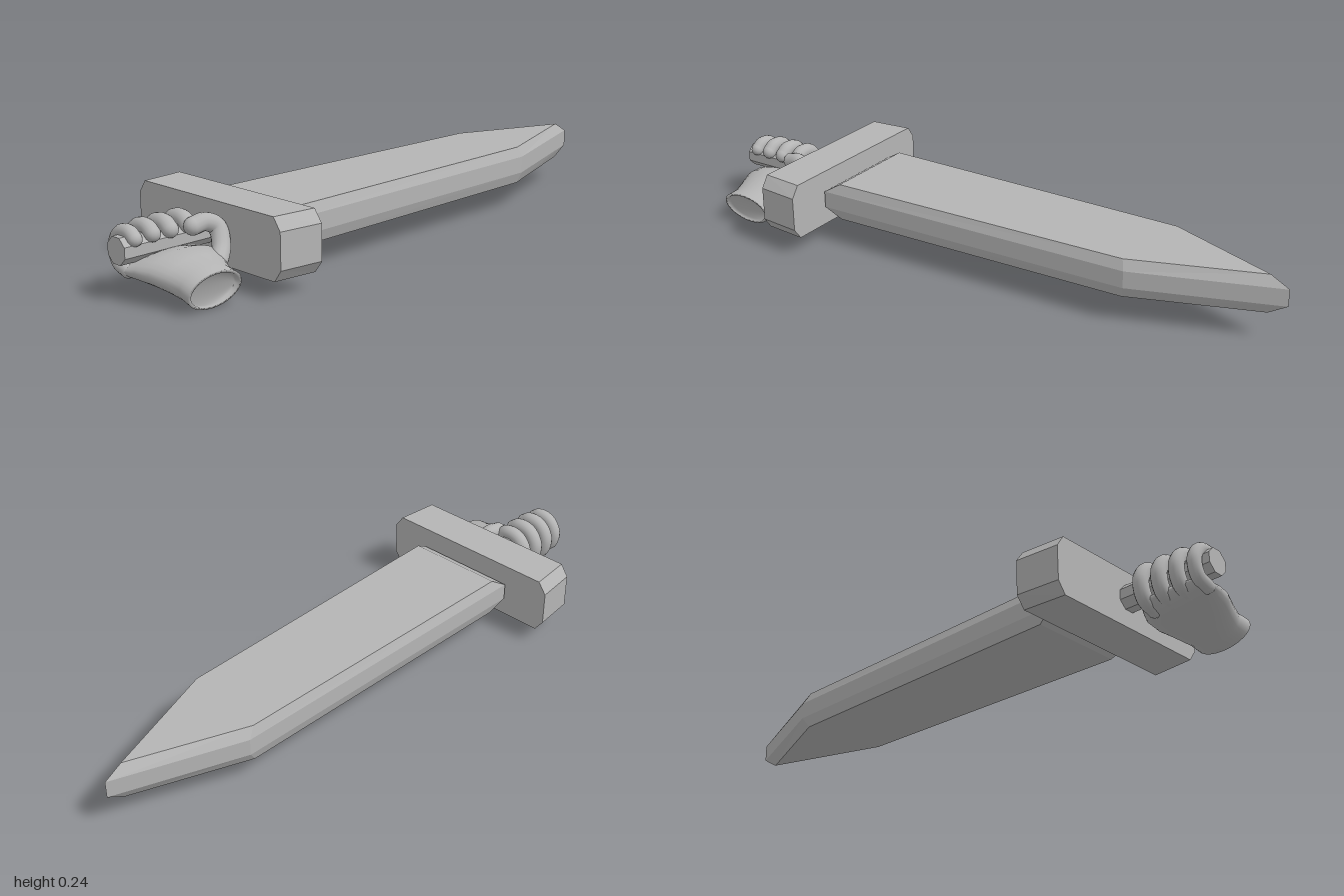
import * as THREE from 'three';

// Skin a run of closed rings (counter-clockwise about the run direction), capped at both ends
function loft(rings, flat) {
  const n = rings[0].length, idx = [];
  for (let k = 0; k < rings.length - 1; k++) {
    for (let j = 0; j < n; j++) {
      const a = k * n + j, b = k * n + (j + 1) % n;
      idx.push(a, b, b + n, a, b + n, a + n);
    }
  }
  const e = (rings.length - 1) * n;
  for (let j = 1; j < n - 1; j++) idx.push(0, j + 1, j, e, e + j, e + j + 1);
  let g = new THREE.BufferGeometry();
  g.setAttribute('position', new THREE.Float32BufferAttribute(rings.flat(2), 3));
  g.setIndex(idx);
  if (flat) g = g.toNonIndexed();
  g.computeVertexNormals();
  return g;
}

export function createModel() {
  const model = new THREE.Group();
  model.name = 'swordInHand';
  const grey = new THREE.MeshStandardMaterial({ color: 0xb4b4b4 });
  grey.name = 'plain grey';

  const add = (parent, name, geometry) => {
    const m = new THREE.Mesh(geometry, grey);
    m.name = name;
    parent.add(m);
    return m;
  };

  // Blade: chamfered slab with a pointed end
  const edge = [[-0.54, 0.181], [0.55, 0.156], [1, 0], [0.6, -0.154], [-0.54, -0.171]];
  const face = [[-0.485, 0.168], [0.54, 0.143], [0.94, 0.001], [0.575, -0.143], [-0.485, -0.158]];
  const level = (outline, y) => outline.map(([x, z]) => [x, y, z]);
  add(model, 'blade', loft([
    level(face, 0.086), level(edge, 0.122), level(edge, 0.177), level(face, 0.21),
  ], true));

  // Crossguard: long block with chamfered ends, slightly shorter on the grip side
  const guardSection = [
    [0.24, -0.3], [0.24, 0.3], [0.202, 0.328], [0.092, 0.328],
    [0.055, 0.3], [0.055, -0.3], [0.092, -0.328], [0.202, -0.328],
  ];
  const guardRing = (x, s) => guardSection.map(([y, z]) => [x, y, z * s]);
  add(model, 'crossguard', loft([guardRing(-0.69, 0.955), guardRing(-0.55, 1)], true));

  // Grip: eight-sided bar
  const bar = new THREE.CylinderGeometry(0.042, 0.042, 0.32, 8).toNonIndexed();
  bar.rotateY(Math.PI / 8);
  bar.rotateZ(Math.PI / 2);
  bar.computeVertexNormals();
  add(model, 'grip', bar).position.set(-0.84, 0.15, -0.003);

  // Palm: rounded sections from knuckles to wrist, ending in a hollow opening
  const hand = new THREE.Group();
  hand.name = 'hand';
  model.add(hand);
  const sections = [ // z, centre x, centre y, half width, half height, lean
    [-0.055, -0.868, 0.092, 0.085, 0.008, 0],
    [-0.035, -0.868, 0.088, 0.11, 0.022, 0],
    [0, -0.86, 0.086, 0.122, 0.033, 0],
    [0.04, -0.847, 0.09, 0.13, 0.046, 0],
    [0.09, -0.84, 0.09, 0.127, 0.056, 0.05],
    [0.14, -0.842, 0.079, 0.107, 0.057, 0.15],
    [0.185, -0.846, 0.066, 0.091, 0.055, 0.25],
    [0.228, -0.85, 0.058, 0.092, 0.057, 0.3],
    [0.229, -0.85, 0.058, 0.082, 0.049, 0.3],
    [0.215, -0.85, 0.058, 0.079, 0.047, 0.3],
  ];
  const SIDES = 28;
  add(hand, 'palm', loft(sections.map(([z, cx, cy, rx, ry, lean]) =>
    Array.from({ length: SIDES }, (_, j) => {
      const a = (j / SIDES) * Math.PI * 2, dy = ry * Math.sin(a);
      return [cx + rx * Math.cos(a), cy + dy, z + lean * dy];
    })), false));

  // Round digits: a tube with ball ends
  const digit = (name, points, radius) => {
    const group = new THREE.Group();
    group.name = name;
    hand.add(group);
    const pts = points.map((p) => new THREE.Vector3(...p));
    add(group, 'bend', new THREE.TubeGeometry(new THREE.CatmullRomCurve3(pts), 28, radius, 14));
    for (const p of [pts[0], pts[pts.length - 1]]) {
      add(group, 'tip', new THREE.SphereGeometry(radius, 14, 10)).position.copy(p);
    }
  };

  // Fingers wrap from below, round the back and over the grip
  const curl = [[0.08, -0.005], [0.098, -0.05], [0.15, -0.064], [0.194, -0.036], [0.202, 0.01], [0.186, 0.035]];
  [
    ['littleFinger', -0.962, 0.021, 0.92],
    ['ringFinger', -0.905, 0.023, 1],
    ['middleFinger', -0.845, 0.024, 1],
    ['indexFinger', -0.782, 0.024, 1],
  ].forEach(([name, x, radius, s]) => {
    digit(name, curl.map(([y, z]) => [x, 0.14 + (y - 0.14) * s, z * s]), radius);
  });

  // Thumb rises beside the guard and bends back over the grip
  digit('thumb', [
    [-0.77, 0.085, 0.14], [-0.725, 0.125, 0.105], [-0.714, 0.175, 0.075],
    [-0.745, 0.194, 0.063], [-0.785, 0.188, 0.058],
  ], 0.027);

  return model;
}
